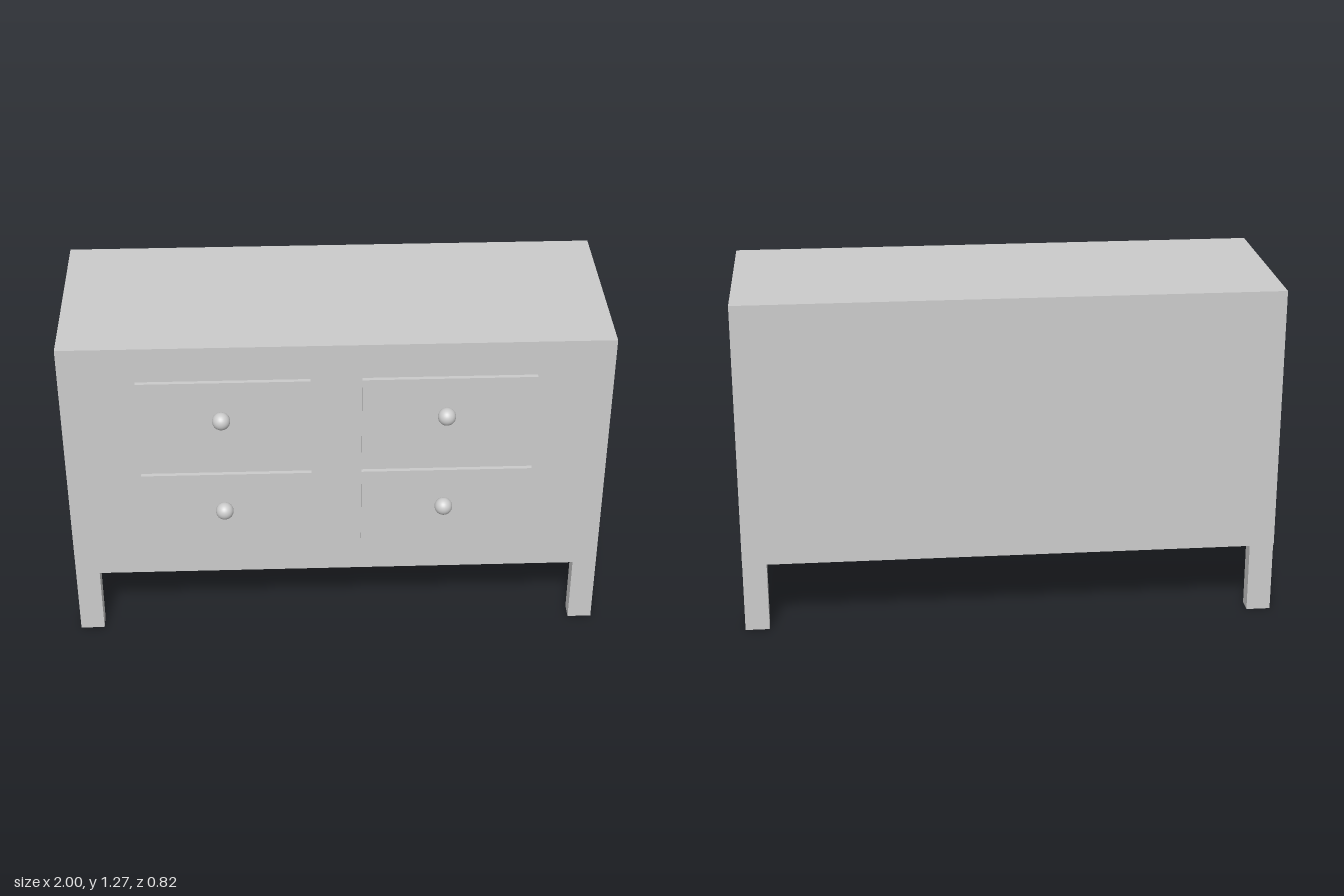
import * as THREE from 'three';

const material = new THREE.MeshStandardMaterial({ color: 0xcccccc });

// Box given by its minimum and maximum corners
function box(name, [x0, y0, z0], [x1, y1, z1]) {
  const mesh = new THREE.Mesh(new THREE.BoxGeometry(x1 - x0, y1 - y0, z1 - z0), material);
  mesh.position.set((x0 + x1) / 2, (y0 + y1) / 2, (z0 + z1) / 2);
  mesh.name = name;
  return mesh;
}

export function createModel() {
  const model = new THREE.Group();
  model.name = 'chestOfDrawers';

  // Cabinet body
  const bottom = 0.27, front = 0.33;
  model.add(box('cabinet', [-1, bottom, -0.41], [1, 1.272, front]));

  // Four square legs at the corners
  for (const [side, x] of [['right', -1], ['left', 0.91]]) {
    model.add(box(side + 'FrontLeg', [x, 0, 0.268], [x + 0.09, bottom, front]));
    model.add(box(side + 'BackLeg', [x, 0, -0.401], [x + 0.09, bottom, -0.34]));
  }

  // Drawer fronts, each with a round knob
  const columns = [
    { side: 'right', x0: -0.724, x1: -0.096, knobX: -0.42 },
    { side: 'left', x0: 0.09, x1: 0.722, knobX: 0.395 },
  ];
  const rows = [
    { level: 'Upper', y0: 0.817, y1: 1.134, knobY: 0.992 },
    { level: 'Lower', y0: 0.413, y1: 0.732, knobY: 0.59 },
  ];
  const knobGeometry = new THREE.SphereGeometry(0.033, 32, 16);
  for (const { side, x0, x1, knobX } of columns) {
    for (const { level, y0, y1, knobY } of rows) {
      const drawer = new THREE.Group();
      drawer.name = side + level + 'Drawer';
      const knob = new THREE.Mesh(knobGeometry, material);
      knob.name = 'knob';
      knob.position.set(knobX, knobY, 0.378);
      drawer.add(box('drawerFront', [x0, y0, front - 0.01], [x1, y1, 0.346]), knob);
      model.add(drawer);
    }
  }
  return model;
}
